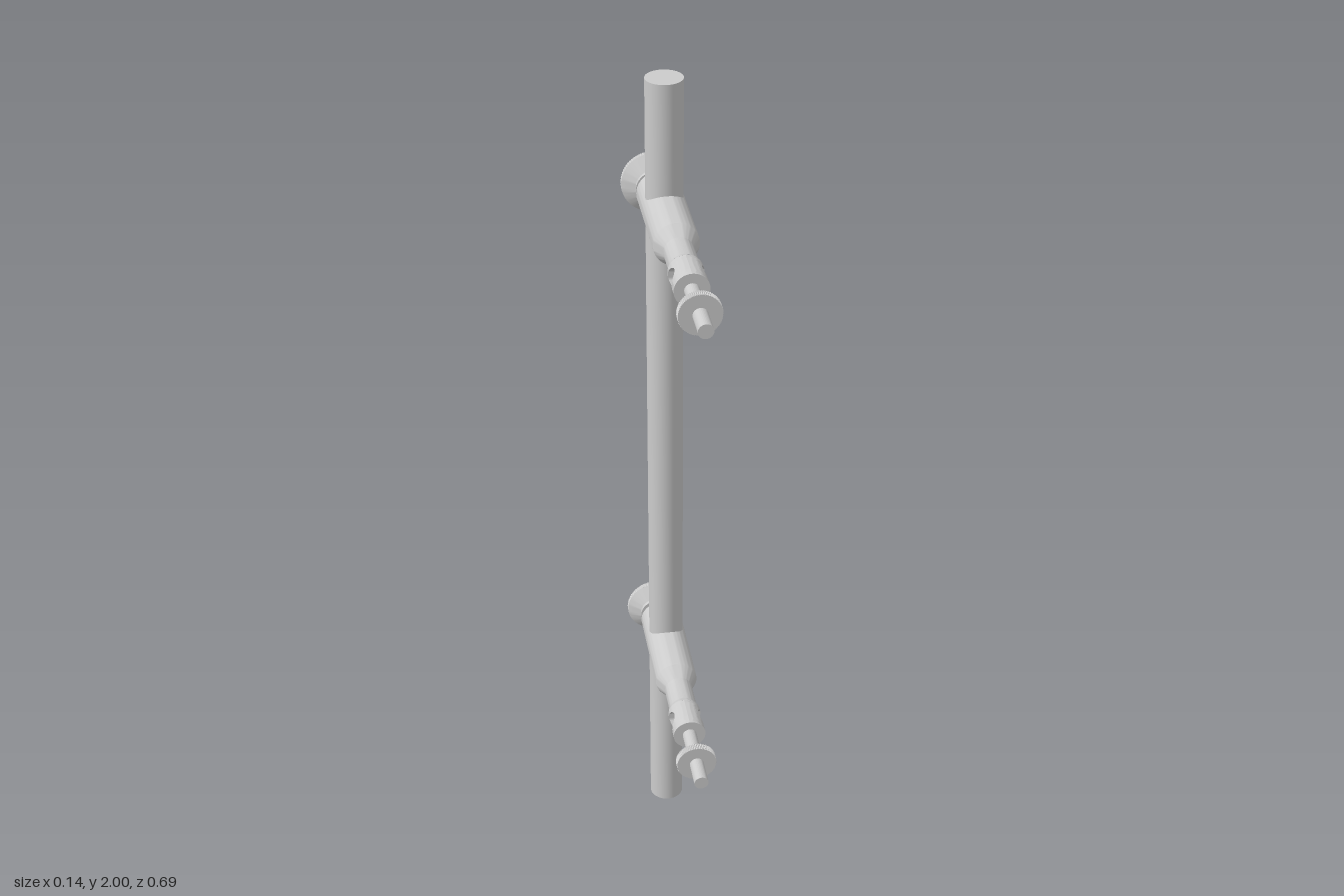
import * as THREE from 'three';
import { toCreasedNormals } from 'three/addons/utils/BufferGeometryUtils.js';
import { ParametricGeometry } from 'three/addons/geometries/ParametricGeometry.js';

const material = new THREE.MeshStandardMaterial({ color: 0xcccccc });
const AXIS_X = 0.006;

function part(name, geometry) {
  const mesh = new THREE.Mesh(geometry, material);
  mesh.name = name;
  return mesh;
}

// Turned part along z from [radius, z] pairs, z increasing.
function turned(name, profile, segments = 64) {
  const points = profile.map(([r, z]) => new THREE.Vector2(r, z));
  const geometry = new THREE.LatheGeometry(points, segments).rotateX(Math.PI / 2);
  return part(name, toCreasedNormals(geometry, 0.35));
}

// Disc along z with a finely ribbed edge.
function knurledDisc(name, radius, z0, z1) {
  const teeth = 72;
  const points = [];
  for (let i = 0; i < teeth * 2; i++) {
    const angle = (i * Math.PI) / teeth;
    const r = radius - (i % 2) * 0.0015;
    points.push(new THREE.Vector2(r * Math.cos(angle), r * Math.sin(angle)));
  }
  const geometry = new THREE.ExtrudeGeometry(new THREE.Shape(points), { depth: z1 - z0, bevelEnabled: false });
  return part(name, geometry.translate(0, 0, z0));
}

// Half of a cylinder along z pierced by a sideways hole; the first row is the hole's wall.
function piercedHalf(radius, z0, z1, holeZ, holeRadius) {
  const rows = 13;
  const surface = (u, v, target) => {
    const t = u * Math.PI * 2;
    const c = Math.cos(t), s = Math.sin(t);
    const y = holeRadius * s, z = holeZ + holeRadius * c;
    if (v < 0.5 / rows) return target.set(0, y, z);
    const m = Math.max(Math.abs(c), Math.abs(s));
    const edgeZ = holeZ + (c / m) * (c > 0 ? z1 - holeZ : holeZ - z0);
    const edgeAngle = (s / m) * Math.PI / 2;
    const k = (v * rows - 1) / (rows - 1);
    const angle = THREE.MathUtils.lerp(Math.asin(y / radius), edgeAngle, k);
    return target.set(radius * Math.cos(angle), radius * Math.sin(angle), THREE.MathUtils.lerp(z, edgeZ, k));
  };
  return toCreasedNormals(new ParametricGeometry(surface, 64, rows), 0.6);
}

function createArm() {
  const arm = new THREE.Group();
  const [z0, z1, r] = [0.09, 0.173, 0.038];

  // Thick sleeve around the pole, tapering into a slimmer neck
  arm.add(turned('armBody', [
    [0, -0.282], [0.05, -0.282], [0.05, -0.03], [0.033, 0.002],
    [0.033, 0.076], [0.0345, 0.081], [0.037, 0.086], [r, z0],
  ]));

  // Pierced end with a cross hole
  const half = piercedHalf(r, z0, z1, 0.124, 0.025);
  arm.add(part('holeSectionLeft', half));
  arm.add(part('holeSectionRight', half.clone().rotateZ(Math.PI)));
  arm.add(turned('armEndCap', [[r, z1], [0, z1]]));

  // Threaded stem and its thumb nut
  arm.add(turned('stem', [[0, 0.165], [0.0165, 0.165], [0.0165, 0.342], [0, 0.342]], 32));
  arm.add(knurledDisc('thumbNut', 0.0465, 0.258, 0.276));

  // Rear knob: ribbed rim, cone, collar and neck
  const knob = new THREE.Group();
  knob.name = 'knob';
  knob.position.x = -0.007;
  knob.add(knurledDisc('knobRim', 0.07, -0.345, -0.332));
  knob.add(turned('knobCone', [
    [0, -0.332], [0.07, -0.332], [0.041, -0.309], [0.041, -0.3],
    [0.021, -0.3], [0.021, -0.275], [0, -0.275],
  ]));
  arm.add(knob);
  return arm;
}

export function createModel() {
  const model = new THREE.Group();
  model.name = 'pullHandle';

  // Upright pole
  const pole = part('pole', new THREE.CylinderGeometry(0.0415, 0.0415, 2, 64));
  pole.position.set(AXIS_X, 1, -0.198);
  model.add(pole);

  // Two identical mounting arms
  [['lowerArm', 0.51], ['upperArm', 1.698]].forEach(([name, y]) => {
    const arm = createArm();
    arm.name = name;
    arm.position.set(AXIS_X, y, 0);
    model.add(arm);
  });
  return model;
}
